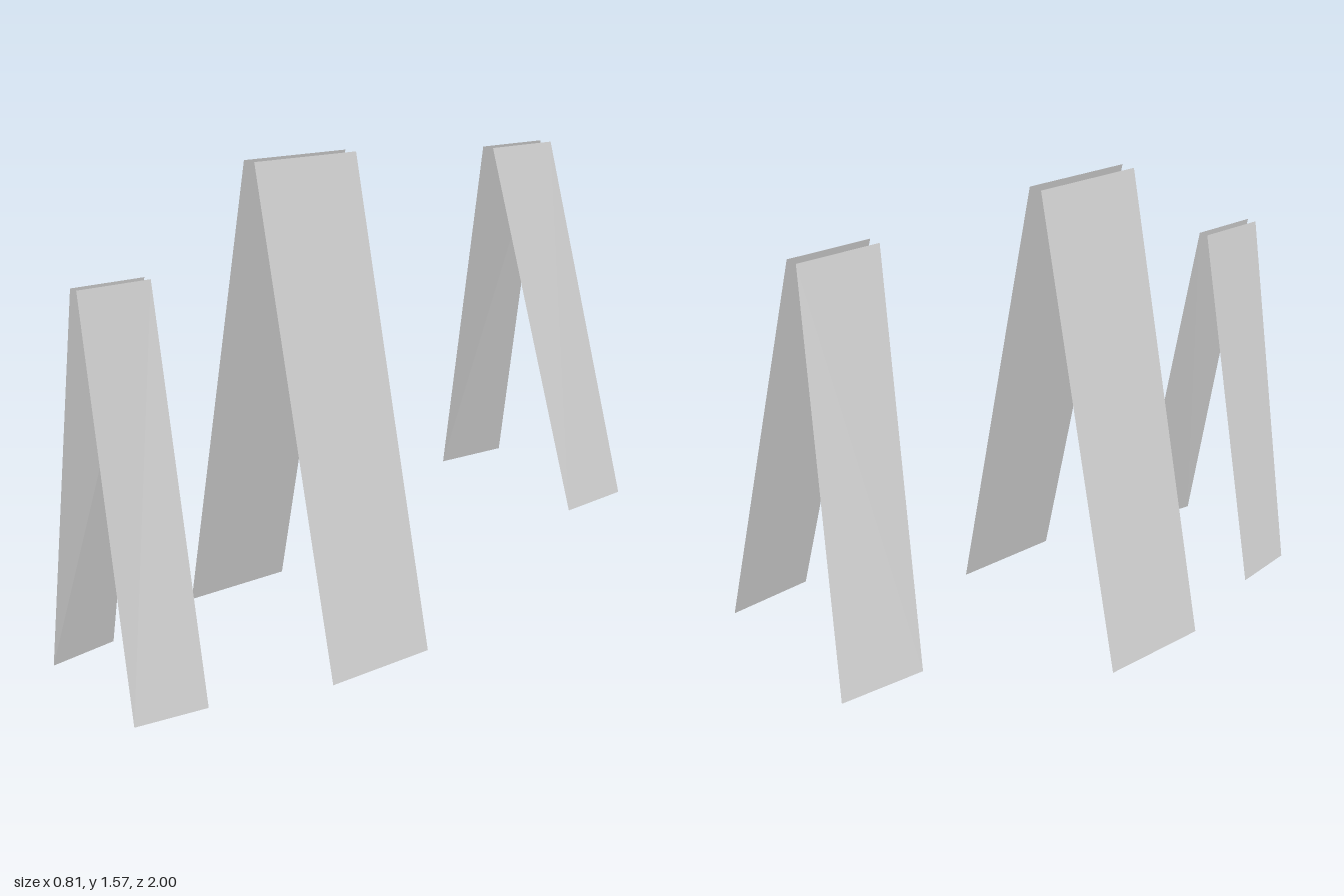
import * as THREE from 'three';

const material = new THREE.MeshStandardMaterial({
  color: 0xcccccc, flatShading: true, side: THREE.DoubleSide,
});

// Thin four-cornered panel, split from its bottom front to its top back corner.
function panel(name, corners, side) {
  // the two sides sit very slightly off the centre plane
  const points = corners.map(([x, y, z]) => [side * x - 0.003, y, z]);
  const geometry = new THREE.BufferGeometry();
  geometry.setAttribute('position', new THREE.Float32BufferAttribute(points.flat(), 3));
  geometry.setIndex(side > 0 ? [0, 1, 2, 0, 2, 3] : [0, 2, 1, 0, 3, 2]);
  geometry.computeVertexNormals();
  const mesh = new THREE.Mesh(geometry, material);
  mesh.name = name;
  return mesh;
}

// Corners of each left panel: bottom front, bottom back, top back, top front.
const pairs = {
  front: [[0.25, 0, 0.996], [0.285, 0, 0.76], [0.018, 1.265, 0.745], [0.018, 1.265, 0.987]],
  middle: [[0.404, 0, 0.38], [0.404, 0, -0.008], [0.027, 1.573, -0.008], [0.027, 1.573, 0.38]],
  back: [[0.331, 0.29, -0.723], [0.312, 0.29, -1], [0.024, 1.535, -0.878], [0.024, 1.535, -0.602]],
};

export function createModel() {
  const model = new THREE.Group();
  model.name = 'leaningPanels';
  for (const [name, corners] of Object.entries(pairs)) {
    const pair = new THREE.Group();
    pair.name = `${name}Pair`;
    pair.add(panel(`${name}LeftPanel`, corners, 1), panel(`${name}RightPanel`, corners, -1));
    model.add(pair);
  }
  return model;
}
